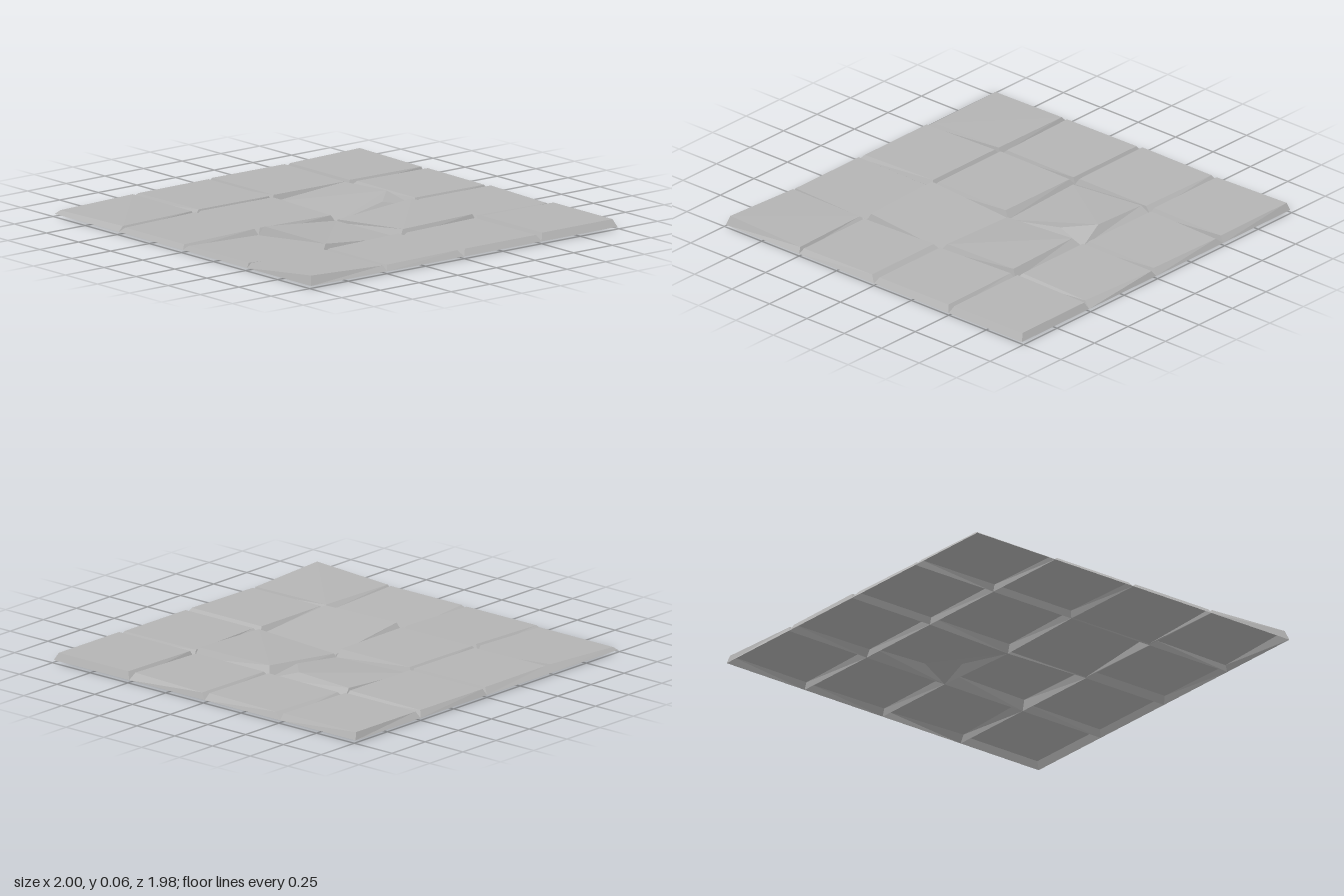
import * as THREE from 'three';

// Grid lines shared by the slab bases
const LX = [-1, -0.5, 0, 0.5, 1], LZ = [-0.99, -0.5, 0, 0.5, 0.99];
const baseY = (i, j) => (i === 2 && j === 2 ? 0 : 0.012);

// Slab rim: points [x, z, y] per side, starting at back left, then back right,
// front right, front left; a missing y means the usual height.
const H = 0.045;
const rows = [
  [ // back row
    [[-0.99, -0.975, 0.05], [-0.505, -0.97], [-0.515, -0.515], [-0.98, -0.515]],
    [[-0.46, -0.975], [-0.01, -0.965], [-0.015, -0.525], [-0.475, -0.53]],
    [[0.025, -0.98], [0.49, -0.955], [0.47, -0.52], [0.02, -0.52]],
    [[0.52, -0.975, 0.05], [0.98, -0.975, 0.05], [0.98, -0.52, 0.05], [0.51, -0.52, 0.05]],
  ],
  [
    [[-0.98, -0.48], [-0.505, -0.47], [-0.51, -0.02], [-0.985, -0.015]],
    null, // chipped slab
    [[0.035, -0.46, 0.06], [0.49, -0.475, 0.062], [0.485, -0.03, 0.052], [0.01, -0.003, 0.018]],
    [[0.51, -0.475], [0.98, -0.48], [0.98, -0.02], [0.53, -0.02]],
  ],
  [
    [[-0.975, 0.015], [-0.505, 0.015], [-0.51, 0.465], [-0.97, 0.475]],
    [[-0.475, 0.015], [-0.01, 0.025, 0.04], [-0.015, 0.48], [-0.48, 0.48]],
    [[0.005, 0.004, 0.012], [0.497, 0.004, 0.016], [0.49, 0.475, 0.055], [0.025, 0.485, 0.06]],
    [[0.52, 0.03], [0.98, 0.03], [0.98, 0.485, 0.04], [0.53, 0.485, 0.04]],
  ],
  [ // front row
    [[-0.97, 0.51], [-0.505, 0.515], [-0.51, 0.955, 0.035], [-0.985, 0.965, 0.03]],
    [[-0.475, 0.515], [-0.015, 0.515], [-0.015, 0.97, 0.035], [-0.475, 0.97, 0.035]],
    [[0.005, 0.505, 0.015], [0.495, 0.505, 0.017], [0.495, 0.975, 0.035], [0.025, 0.975, 0.035]],
    [[0.525, 0.52, 0.04], [0.98, 0.51, 0.04], [0.982, 0.975, 0.06], [0.515, 0.975, 0.038]],
  ],
];

// Flat-sided surface from polygons given counter-clockwise from outside
function facets(polys) {
  const pos = [];
  for (const p of polys)
    for (let k = 1; k < p.length - 1; k++) pos.push(...p[0], ...p[k], ...p[k + 1]);
  const g = new THREE.BufferGeometry();
  g.setAttribute('position', new THREE.Float32BufferAttribute(pos, 3));
  g.computeVertexNormals();
  return g;
}

const baseCorners = (i, j) =>
  [[i, j], [i + 1, j], [i + 1, j + 1], [i, j + 1]].map(([a, b]) => [LX[a], baseY(a, b), LZ[b]]);

// Bevelled slab, open underneath
function slab(i, j, rim) {
  const b = baseCorners(i, j);
  const t = rim.map(([x, z, y = H]) => [x, y, z]);
  const polys = [[t[0], t[3], t[2], t[1]]];
  for (let k = 0; k < 4; k++) {
    const n = (k + 1) % 4;
    polys.push([b[n], b[k], t[k], t[n]]);
  }
  return facets(polys);
}

// Slab tilted down to the front, with its back right corner broken off
function chippedSlab(i, j) {
  const [bl, br, fr, fl] = baseCorners(i, j);
  const tl = [-0.485, 0.05, -0.455], c1 = [-0.16, 0.065, -0.46], c2 = [-0.03, 0.052, -0.325];
  const tf = [-0.48, 0.02, -0.004];
  return facets([
    [c1, tl, tf, fr], [c1, fr, c2], // top
    [c1, c2, br], // chip
    [br, bl, tl, c1], // back
    [bl, fl, tf, tl], // left
    [fr, br, c2], // right
    [fl, fr, tf], // front
  ]);
}

export function createModel() {
  const stone = new THREE.MeshStandardMaterial({ color: 0xb4b4b4 });
  stone.name = 'stone grey';
  stone.flatShading = true;
  stone.side = THREE.DoubleSide;

  const group = new THREE.Group();
  group.name = 'stoneFloor';
  rows.forEach((row, j) => row.forEach((rim, i) => {
    const mesh = new THREE.Mesh(rim ? slab(i, j, rim) : chippedSlab(i, j), stone);
    mesh.name = rim ? `slabRow${j + 1}Column${i + 1}` : 'chippedSlab';
    group.add(mesh);
  }));
  return group;
}
